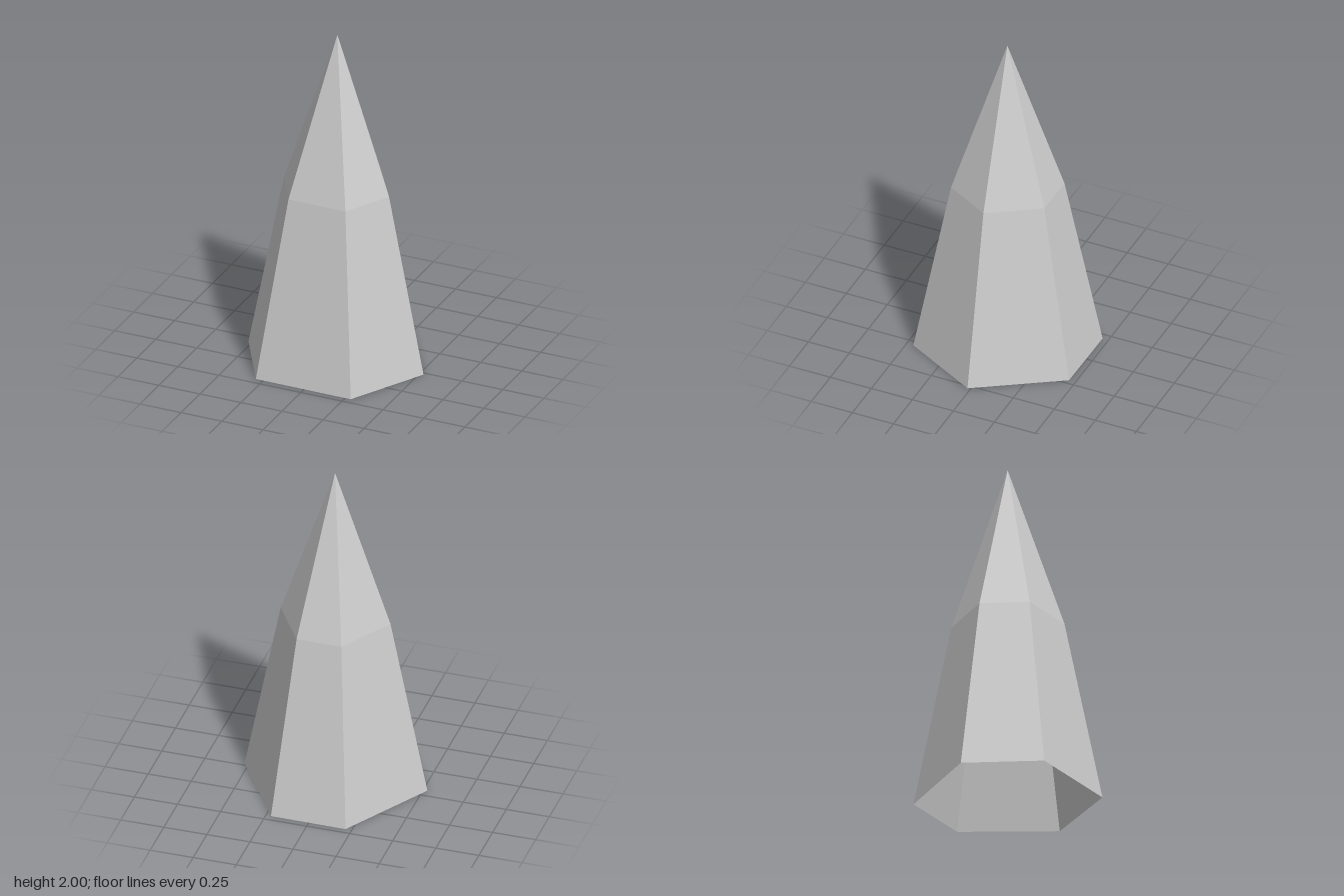
import * as THREE from 'three';

// Irregular hexagonal outline [x, z], from the left side round by the front
const OUTLINE = [
  [0.525, 0.018], [0.285, 0.459], [-0.295, 0.455],
  [-0.525, 0.054], [-0.214, -0.464], [0.22, -0.46],
];
const AXIS_Z = 0.018;

// The outline shrunk towards the apex axis at a given height
const ring = (scale, y) => OUTLINE.map(([x, z]) =>
  new THREE.Vector3(x * scale, y, AXIS_Z + (z - AXIS_Z) * scale));

function spireGeometry() {
  const base = ring(1, 0);
  const shoulder = ring(0.6, 1.06);
  const apex = new THREE.Vector3(0, 2, AXIS_Z);
  const points = [];
  base.forEach((a, i) => {
    const j = (i + 1) % base.length;
    points.push(a, shoulder[i], shoulder[j], a, shoulder[j], base[j]); // steep lower wall
    points.push(shoulder[i], apex, shoulder[j]); // tapering tip
  });
  const geometry = new THREE.BufferGeometry().setFromPoints(points);
  geometry.computeVertexNormals();
  return geometry;
}

export function createModel() {
  const group = new THREE.Group();
  group.name = 'crystalSpike';

  // Hollow faceted shell, open at the bottom
  const shell = new THREE.Mesh(spireGeometry(), new THREE.MeshStandardMaterial({
    color: 0xcccccc, flatShading: true, side: THREE.DoubleSide,
  }));
  shell.name = 'spikeShell';
  group.add(shell);
  return group;
}
